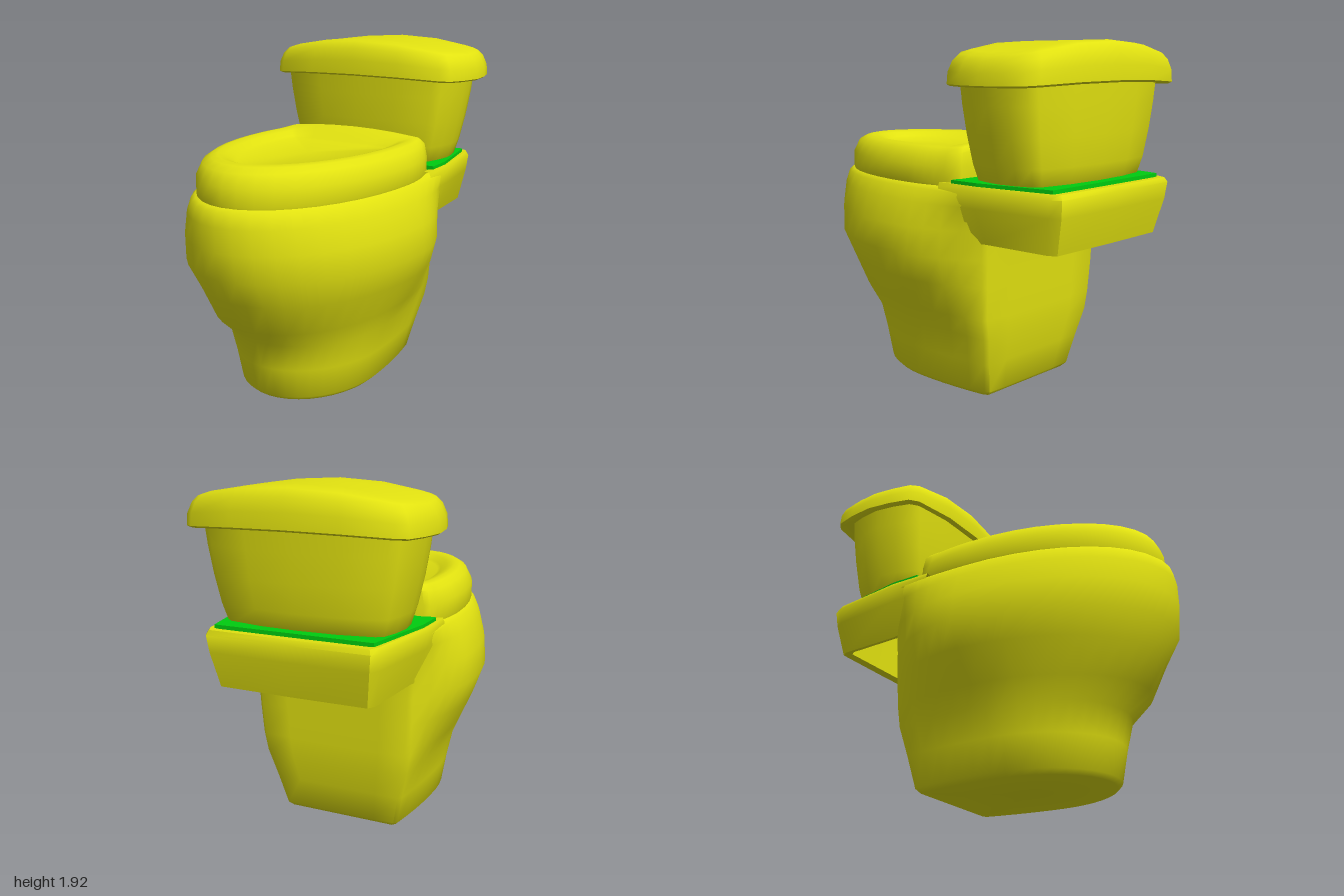
import * as THREE from 'three';
import { toCreasedNormals } from 'three/addons/utils/BufferGeometryUtils.js';

const yellow = new THREE.MeshStandardMaterial({ color: 0xe2e210, side: THREE.DoubleSide });
const green = new THREE.MeshStandardMaterial({ color: 0x00cc10, side: THREE.DoubleSide });

// Skin a stack of rings; optionally close both ends to a centre point.
function loft(rings, caps = true, crease = 0.9, closed = true) {
  const n = rings[0].length, pos = [], idx = [];
  rings.forEach(r => r.forEach(p => pos.push(...p)));
  const last = closed ? n : n - 1;
  for (let i = 0; i < rings.length - 1; i++) {
    for (let j = 0; j < last; j++) {
      const a = i * n + j, b = i * n + (j + 1) % n;
      idx.push(a, b, b + n, a, b + n, a + n);
    }
  }
  const cap = (i, top) => {
    const c = pos.length / 3, r = rings[i];
    const mean = k => r.reduce((s, p) => s + p[k], 0) / n;
    const y = top ? Math.max(...r.map(p => p[1])) : mean(1);
    pos.push(0, y, mean(2));
    for (let j = 0; j < n; j++) {
      const a = i * n + j, b = i * n + (j + 1) % n;
      if (top) idx.push(c, a, b); else idx.push(c, b, a);
    }
  };
  if (caps) { cap(0, false); cap(rings.length - 1, true); }
  const g = new THREE.BufferGeometry();
  g.setAttribute('position', new THREE.Float32BufferAttribute(pos, 3));
  g.setIndex(idx);
  return toCreasedNormals(g, crease);
}

function part(name, geometry, material = yellow) {
  const m = new THREE.Mesh(geometry, material);
  m.name = name;
  return m;
}

// Mirror a half outline that runs from x = 0 through +x back to x = 0.
const mirrorLoop = half =>
  half.concat(half.slice(1, -1).reverse().map(([x, y, z]) => [-x, y, z]));

// Elliptical front, gently tapering sides, straight back.
function bowlRing([y, hw, bhw, zf, zb, zc = 0], lift = () => 0) {
  const half = [];
  for (let i = 0; i <= 10; i++) {
    const a = i / 10 * Math.PI / 2;
    half.push([hw * Math.sin(a), y, zc + (zf - zc) * Math.cos(a)]);
  }
  for (let i = 1; i <= 5; i++) {
    const t = i / 5;
    half.push([hw - (hw - bhw) * t * t, y, zc + (zb + 0.02 - zc) * t]);
  }
  for (const f of [0.95, 0.6, 0.3, 0]) half.push([bhw * f, y, zb]);
  half.forEach(p => { p[1] += lift(p[0], p[2]); });
  return mirrorLoop(half);
}

// Rectangle with bowed sides and softened corners, arched across x.
function tankRing([y, hw, hd, arch = 0], zc) {
  const q = [[0, 1], [0.45, 0.96], [0.84, 0.83], [0.92, 0.72], [0.97, 0.4], [1, 0]];
  const half = q.concat(q.slice(0, -1).reverse().map(([x, z]) => [x, -z]));
  return mirrorLoop(half.map(([x, z]) =>
    [x * hw, y + arch * (1 - (x * hw / 0.6) ** 2), zc + z * hd]));
}

export function createModel() {
  const model = new THREE.Group();
  model.name = 'toilet';

  // Pedestal and bowl: y, half width, back half width, front z, back z, widest z
  const bowl = [
    [0, 0.375, 0.33, 0.59, -0.39, 0.1],
    [0.025, 0.4, 0.35, 0.615, -0.415, 0.1],
    [0.2, 0.43, 0.39, 0.65, -0.45, 0.1],
    [0.36, 0.465, 0.43, 0.69, -0.485, 0.1],
    [0.47, 0.515, 0.45, 0.815, -0.49, 0.05],
    [0.65, 0.6, 0.46, 0.9, -0.5],
    [0.8, 0.652, 0.465, 0.985, -0.505],
    [0.95, 0.637, 0.475, 1, -0.515],
    [1.08, 0.6, 0.51, 1, -0.52],
    [1.15, 0.565, 0.54, 0.985, -0.52],
    [1.17, 0.545, 0.53, 0.96, -0.52],
  ];
  model.add(part('bowl', loft(bowl.map(r => bowlRing(r)))));

  // Seat with closed cover and shallow recess; the rear edge swells upward
  const seat = [
    [1.16, 0.54, 0.485, 0.94, -0.34],
    [1.18, 0.547, 0.49, 0.945, -0.34],
    [1.27, 0.547, 0.49, 0.94, -0.34],
    [1.34, 0.51, 0.475, 0.905, -0.335],
    [1.365, 0.475, 0.45, 0.85, -0.32],
    [1.372, 0.44, 0.42, 0.81, -0.28],
    [1.36, 0.395, 0.375, 0.765, -0.21],
    [1.335, 0.355, 0.335, 0.725, -0.165],
    [1.325, 0.335, 0.315, 0.705, -0.15],
  ];
  model.add(part('seatCover', loft(seat.map(r => bowlRing(r, (x, z) =>
    r[0] < 1.3 || z > -0.2 ? 0
      : 0.035 * Math.min(1, (-0.2 - z) / 0.08) * (1 - (x / 0.5) ** 2))))));

  // Rear shelf skirt, open underneath: each row is a half path around the back
  const shelfRows = [
    [0.9, [[0.48, -0.3], [0.43, -0.52], [0.4, -0.87], [0.38, -0.9], [0, -0.9]]],
    [0.89, [[0.52, -0.3], [0.465, -0.52], [0.435, -0.9], [0.41, -0.94], [0, -0.945]]],
    [1.08, [[0.55, -0.25], [0.535, -0.5], [0.47, -0.93], [0.44, -0.985], [0, -0.99]]],
    [1.17, [[0.55, -0.25], [0.55, -0.5], [0.48, -0.94], [0.45, -0.995], [0, -1]]],
    [1.195, [[0.54, -0.25], [0.535, -0.5], [0.465, -0.93], [0.44, -0.98], [0, -0.985]]],
    [1.19, [[0.5, -0.25], [0.49, -0.5], [0.42, -0.88], [0.4, -0.91], [0, -0.915]]],
  ];
  shelfRows.push(shelfRows[0]);
  const skirt = shelfRows.map(([y, path]) => {
    const half = path.map(([x, z]) => [x, y, z]);
    return half.concat(half.slice(0, -1).reverse().map(([x, , z]) => [-x, y, z]));
  });
  model.add(part('rearShelf', loft(skirt, false, 0.9, false)));

  // Flat gasket plate under the tank
  const plate = new THREE.Shape([[-0.53, 0.33], [0.53, 0.33], [0.525, 0.5], [0.44, 0.93],
    [-0.44, 0.93], [-0.525, 0.5]].map(([x, y]) => new THREE.Vector2(x, y)));
  const plateGeo = new THREE.ExtrudeGeometry(plate, { depth: 0.025, bevelEnabled: false });
  plateGeo.rotateX(-Math.PI / 2).translate(0, 1.187, 0);
  model.add(part('gasketPlate', plateGeo, green));

  // Tank: y, half width, half depth
  const tank = [
    [1.18, 0.455, 0.23], [1.2, 0.475, 0.25], [1.3, 0.505, 0.275],
    [1.45, 0.54, 0.29], [1.6, 0.567, 0.3], [1.74, 0.585, 0.305],
  ];
  model.add(part('tank', loft(tank.map(r => tankRing(r, -0.62)))));

  // Arched tank lid: y, half width, half depth, arch
  const lid = [
    [1.72, 0.57, 0.295, 0.02], [1.69, 0.635, 0.35, 0.02], [1.7, 0.65, 0.365, 0.02],
    [1.76, 0.645, 0.362, 0.04], [1.81, 0.622, 0.345, 0.06], [1.835, 0.595, 0.315, 0.075],
    [1.842, 0.55, 0.27, 0.077], [1.842, 0.36, 0.18, 0.077], [1.842, 0.18, 0.09, 0.077],
  ];
  model.add(part('tankLid', loft(lid.map(r => tankRing(r, -0.635)))));

  return model;
}
